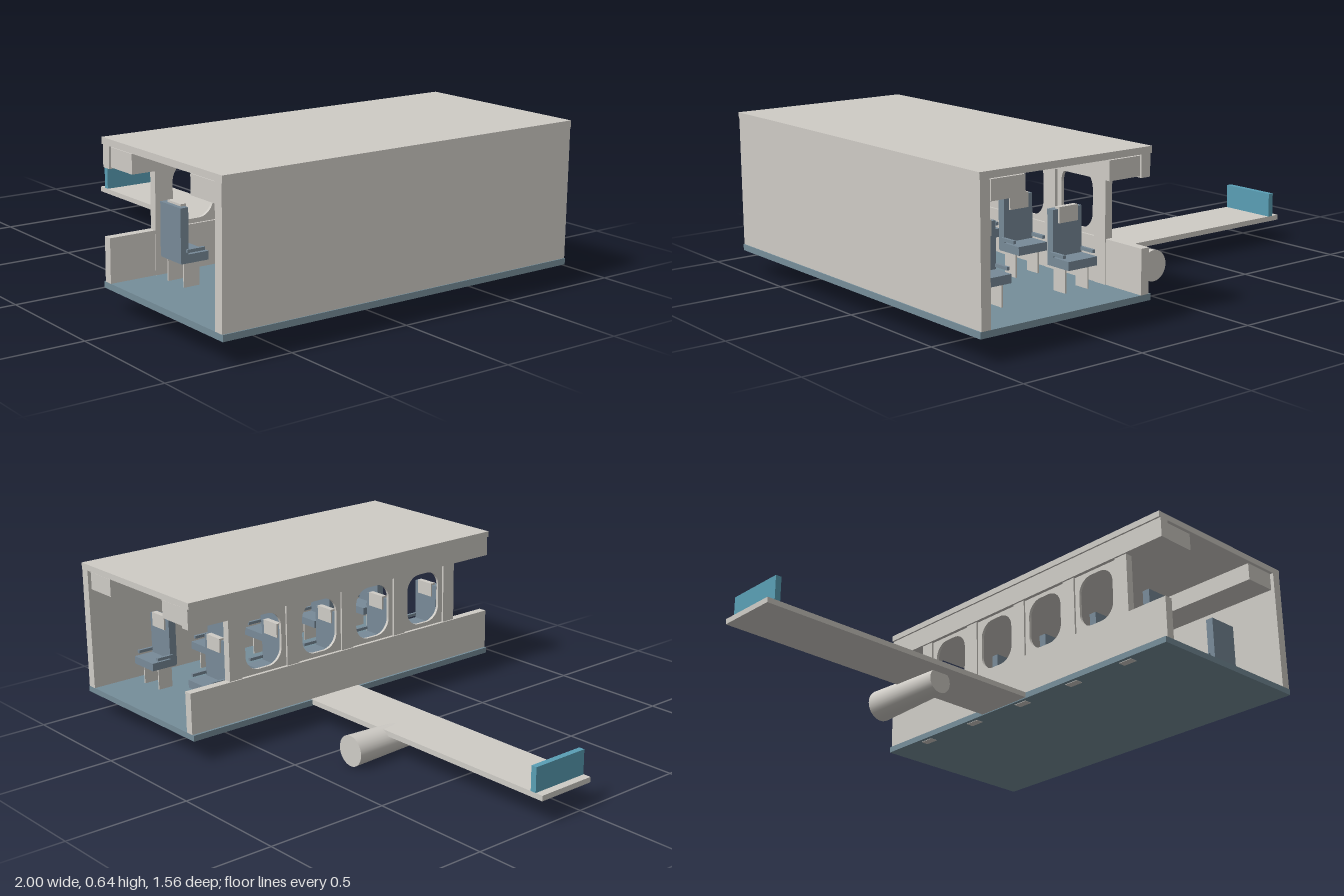
import * as THREE from 'three';

const mat = (name, color) => Object.assign(new THREE.MeshStandardMaterial({ color }), { name });

export function createModel() {
  const model = new THREE.Group();
  model.name = 'cabinSection';
  const shell = mat('warmGrey', 0xcfccc6);
  const floorBlue = mat('floorBlue', 0x768e9a);
  const seatBlue = mat('seatBlue', 0x788a98);
  const teal = mat('teal', 0x5a9fb5);

  const add = (parent, name, geometry, material) => {
    const mesh = new THREE.Mesh(geometry, material);
    mesh.name = name;
    parent.add(mesh);
    return mesh;
  };
  // Box given by its minimum and maximum along each axis
  const box = (parent, name, material, x0, x1, y0, y1, z0, z1) => {
    const g = new THREE.BoxGeometry(x1 - x0, y1 - y0, z1 - z0);
    g.translate((x0 + x1) / 2, (y0 + y1) / 2, (z0 + z1) / 2);
    return add(parent, name, g, material);
  };

  // Cabin shell
  const L = 0.778;
  box(model, 'floor', floorBlue, 0.26, 1, 0.094, 0.118, -L, L);
  box(model, 'roof', shell, 0.26, 0.998, 0.617, 0.642, -L, L);
  box(model, 'solidWall', shell, 0.957, 0.996, 0.118, 0.617, -L, L);
  box(model, 'lowerWall', shell, 0.27, 0.305, 0.118, 0.285, -L, L);
  box(model, 'upperWall', shell, 0.268, 0.308, 0.535, 0.617, -L, L);
  box(model, 'rightLuggageBin', shell, 0.308, 0.446, 0.54, 0.612, -0.77, 0.77);
  box(model, 'leftLuggageBin', shell, 0.806, 0.946, 0.54, 0.612, -0.77, 0.77);

  // Wall pillars
  const pitch = 0.28;
  for (let i = -2; i <= 2; i++) {
    box(model, 'pillar', shell, 0.276, 0.308, 0.092, 0.617, i * pitch - 0.03, i * pitch + 0.03);
  }

  // Window panels with rounded openings
  const roundedRect = (target, w, h, r) => {
    target.moveTo(-w + r, -h);
    target.lineTo(w - r, -h);
    target.absarc(w - r, -h + r, r, -Math.PI / 2, 0);
    target.absarc(w - r, h - r, r, 0, Math.PI / 2);
    target.absarc(-w + r, h - r, r, Math.PI / 2, Math.PI);
    target.absarc(-w + r, -h + r, r, Math.PI, Math.PI * 1.5);
    return target;
  };
  const panel = new THREE.Shape([[-0.11, -0.125], [0.11, -0.125], [0.11, 0.125], [-0.11, 0.125]]
    .map(([x, y]) => new THREE.Vector2(x, y)));
  panel.holes.push(roundedRect(new THREE.Path(), 0.088, 0.108, 0.065));
  const panelGeo = new THREE.ExtrudeGeometry(panel, { depth: 0.012, bevelEnabled: false, curveSegments: 8 });
  panelGeo.rotateY(Math.PI / 2);
  for (let i = 0; i < 4; i++) {
    add(model, 'windowPanel', panelGeo, shell).position.set(0.284, 0.41, (i - 1.5) * pitch);
  }

  // Seats, facing the back
  const makeSeat = (x, z) => {
    const seat = new THREE.Group();
    seat.name = 'seat';
    seat.position.set(x, 0, z);
    box(seat, 'cushion', seatBlue, -0.065, 0.065, 0.208, 0.24, -0.065, 0.05);
    box(seat, 'backrest', seatBlue, -0.065, 0.065, 0.212, 0.41, 0.02, 0.052);
    box(seat, 'headrest', shell, -0.042, 0.042, 0.36, 0.418, 0.013, 0.036);
    for (const s of [-1, 1]) {
      box(seat, 'leg', shell, s * 0.051 - 0.003, s * 0.051 + 0.003, 0.118, 0.208, -0.032, 0.032);
      box(seat, 'armrest', seatBlue, s * 0.067 - 0.006, s * 0.067 + 0.006, 0.248, 0.26, -0.045, 0.03);
    }
    model.add(seat);
  };
  for (const x of [0.44, 0.82]) {
    for (let i = -2; i <= 2; i++) makeSeat(x, i * pitch);
  }

  // Wing, upright tip and engine
  box(model, 'wing', shell, -1, 0.275, 0.098, 0.119, -0.2, 0.048);
  box(model, 'wingTip', teal, -0.968, -0.944, 0.119, 0.216, -0.2, 0.046);
  const engine = new THREE.CylinderGeometry(0.062, 0.05, 0.35, 32);
  engine.rotateX(-Math.PI / 2);
  add(model, 'engine', engine, shell).position.set(-0.15, 0.065, -0.175);

  return model;
}
